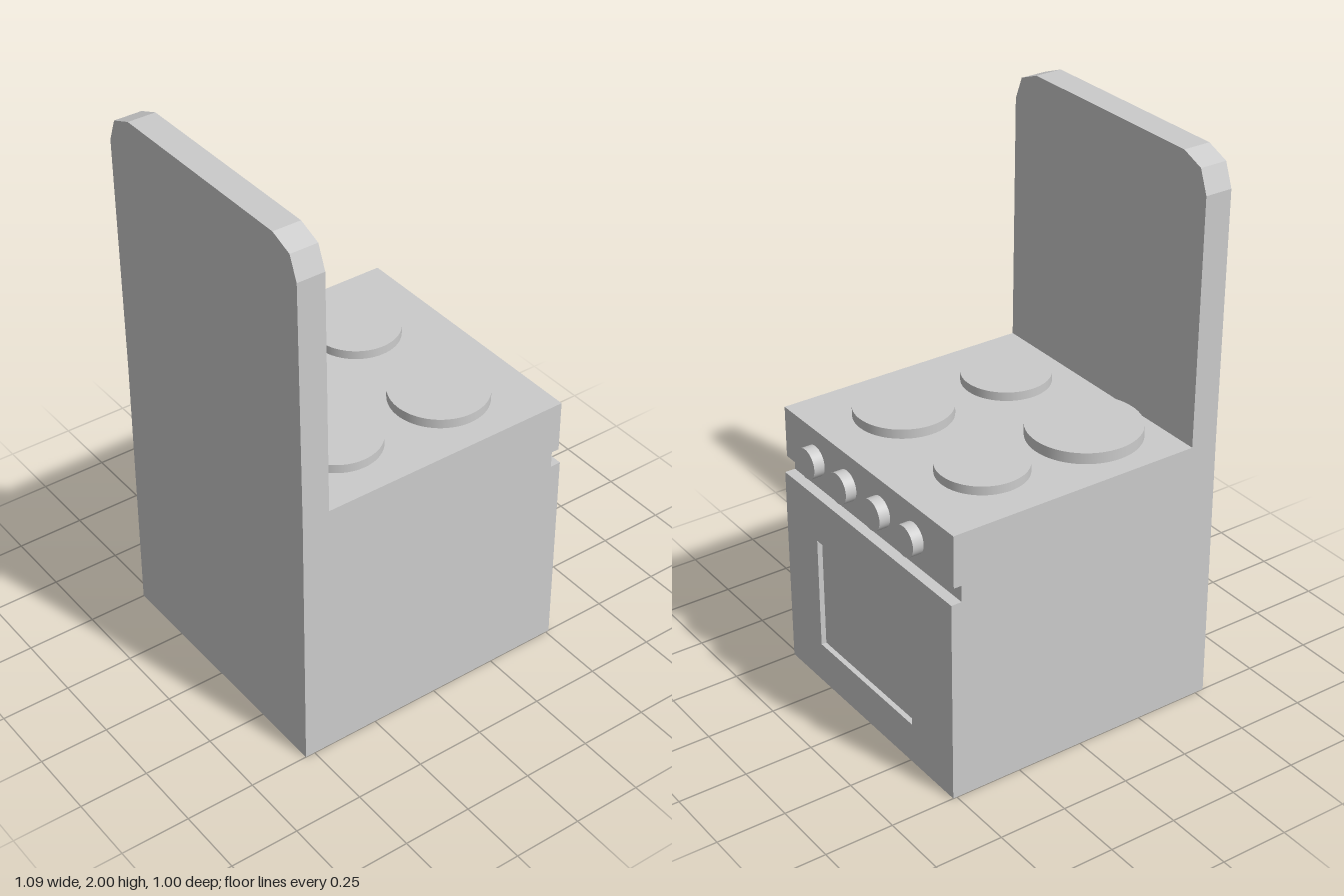
import * as THREE from 'three';

const material = new THREE.MeshStandardMaterial({ color: 0xcccccc });
const DOOR_BACK = 0.495, DOOR_FRONT = 0.514, PANEL = 0.504;

function add(parent, name, geometry, x = 0, y = 0, z = 0) {
  const mesh = new THREE.Mesh(geometry, material);
  mesh.name = name;
  mesh.position.set(x, y, z);
  parent.add(mesh);
  return mesh;
}

const points = (list) => list.map(([a, b]) => new THREE.Vector2(a, b));
const extrude = (shape, depth) => new THREE.ExtrudeGeometry(shape, { depth, bevelEnabled: false });

// Extrudes a (-z, y) outline along +x
const extrudeX = (shape, depth) => extrude(shape, depth).rotateY(Math.PI / 2);

export function createModel() {
  const stove = new THREE.Group();
  stove.name = 'stove';

  // Cabinet side profile with the handle groove under the control panel
  const profile = new THREE.Shape(points([
    [-0.535, 0], [DOOR_BACK, 0], [DOOR_BACK, 0.75], [0.475, 0.75],
    [0.475, 0.81], [PANEL, 0.81], [PANEL, 1], [-0.535, 1],
  ]));
  add(stove, 'cabinet', extrude(profile, 1), 0, 0, -0.5);

  // Oven door with a recessed window
  const door = new THREE.Shape(points([[-0.5, 0], [0.5, 0], [0.5, 0.75], [-0.5, 0.75]]));
  door.holes.push(new THREE.Path(points([[-0.305, 0.152], [-0.305, 0.575], [0.262, 0.575], [0.262, 0.152]])));
  add(stove, 'ovenDoor', extrudeX(door, DOOR_FRONT - DOOR_BACK), DOOR_BACK);

  // Raised lid with clipped corners, leaning back slightly
  const lid = new THREE.Shape(points([
    [-0.5, 1], [0.5, 1], [0.5, 1.885], [0.468, 1.967], [0.385, 2],
    [-0.385, 2], [-0.468, 1.967], [-0.5, 1.885],
  ]));
  const lean = new THREE.Matrix4().makeShear(0, 0, -0.01, 0, 0, 0);
  lean.elements[4] = -0.01;
  lean.elements[1] = 0;
  const lidGeometry = extrudeX(lid, 0.1).translate(0, -1, 0).applyMatrix4(lean);
  add(stove, 'lid', lidGeometry, -0.535, 1, 0);

  // Hot plates: x, z, radius, height
  const plates = [
    [-0.204, -0.224, 0.198, 0.04],
    [0.203, -0.224, 0.157, 0.032],
    [-0.216, 0.233, 0.157, 0.032],
    [0.203, 0.233, 0.172, 0.034],
  ];
  plates.forEach(([x, z, r, h], i) => {
    add(stove, `hotPlate${i + 1}`, new THREE.CylinderGeometry(r, r, h, 64), x, 1 + h / 2, z);
  });

  // Control knobs
  [0.307, 0.112, -0.088, -0.28].forEach((z, i) => {
    const knob = new THREE.CylinderGeometry(0.055, 0.055, 0.04, 40).rotateZ(-Math.PI / 2);
    add(stove, `knob${i + 1}`, knob, PANEL + 0.02, 0.884, z);
  });

  return stove;
}
